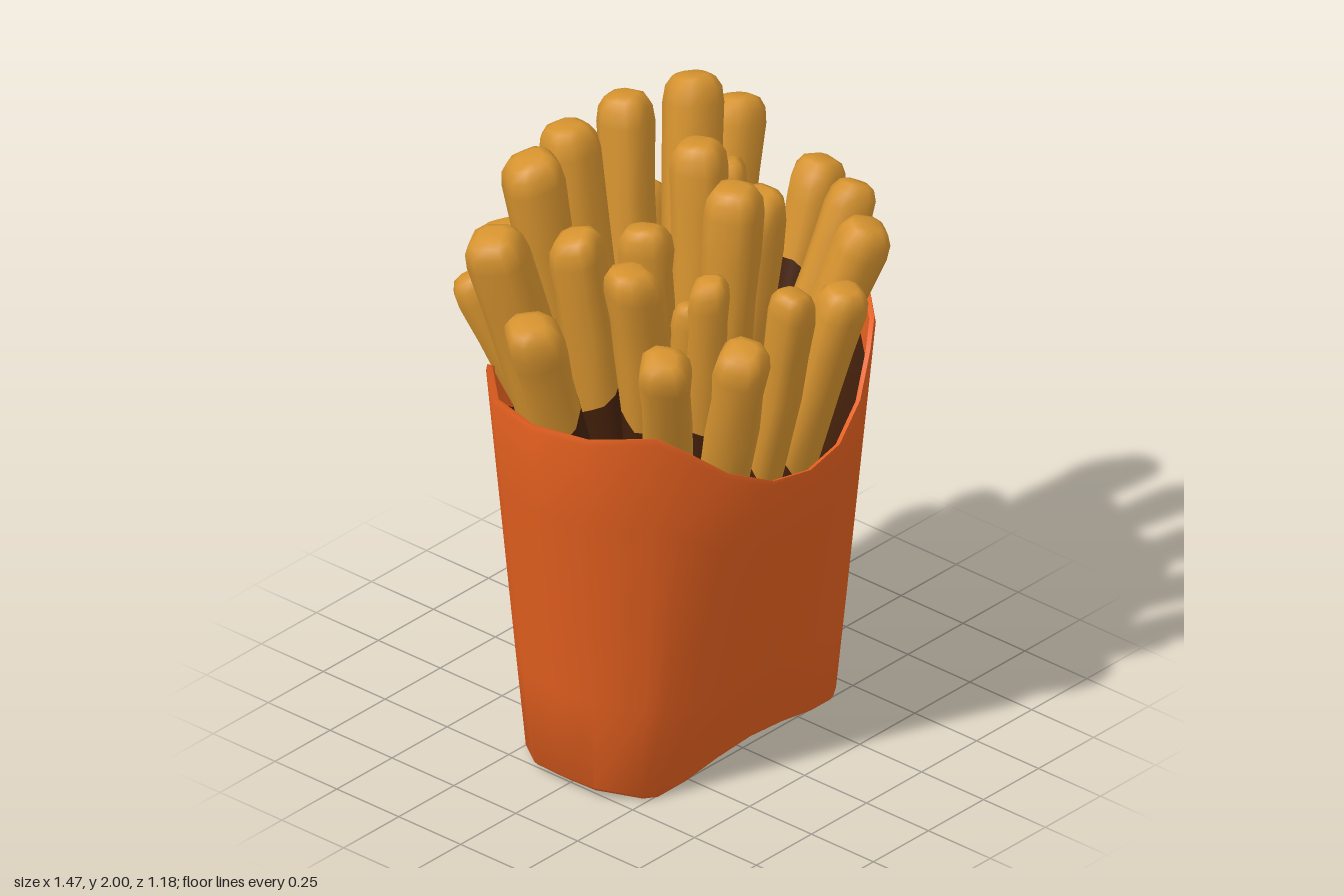
import * as THREE from 'three';
import { toCreasedNormals } from 'three/addons/utils/BufferGeometryUtils.js';

const V = (x, y, z) => new THREE.Vector3(x, y, z);

// Skin a stack of closed rings; optional fan caps at the first and last ring.
function loft(rings, capStart, capEnd) {
  const n = rings[0].length, pos = [], idx = [];
  rings.forEach(r => r.forEach(p => pos.push(p.x, p.y, p.z)));
  for (let j = 0; j < rings.length - 1; j++) {
    for (let i = 0; i < n; i++) {
      const a = j * n + i, b = j * n + (i + 1) % n;
      idx.push(a, b, b + n, a, b + n, a + n);
    }
  }
  const cap = (j, flip) => {
    const c = V(0, 0, 0);
    rings[j].forEach(p => c.addScaledVector(p, 1 / n));
    const k = pos.length / 3;
    pos.push(c.x, c.y, c.z);
    for (let i = 0; i < n; i++) {
      const a = j * n + i, b = j * n + (i + 1) % n;
      if (flip) idx.push(b, a, k); else idx.push(a, b, k);
    }
  };
  if (capStart) cap(0, true);
  if (capEnd) cap(rings.length - 1, false);
  const g = new THREE.BufferGeometry();
  g.setAttribute('position', new THREE.Float32BufferAttribute(pos, 3));
  g.setIndex(idx);
  g.computeVertexNormals();
  return g;
}

// Quarter outline of the carton, front middle to side middle:
// bottom x, z, y, then rim x, z, y
const QUARTER = [
  [0, 0.285, 0.055, 0, 0.53, 1.08],
  [0.15, 0.285, 0.045, 0.15, 0.515, 1.1],
  [0.29, 0.278, 0.02, 0.3, 0.465, 1.17],
  [0.4, 0.26, 0.004, 0.42, 0.4, 1.27],
  [0.44, 0.235, 0.006, 0.5, 0.345, 1.33],
  [0.53, 0.12, 0.03, 0.645, 0.19, 1.33],
  [0.535, 0, 0.03, 0.69, 0, 1.33],
];
const mirror = (p, sx, sz) => [p[0] * sx, p[1] * sz, p[2], p[3] * sx, p[4] * sz, p[5]];
const OUTLINE = [
  ...QUARTER,
  ...QUARTER.slice(0, 6).reverse().map(p => mirror(p, 1, -1)),
  ...QUARTER.slice(1).map(p => mirror(p, -1, -1)),
  ...QUARTER.slice(1, 6).reverse().map(p => mirror(p, -1, 1)),
];

// Ring of the carton wall; tOf gives the height fraction for each outline point
const wallRing = (tOf, scale = 1, dy = 0, scaleZ = scale) => OUTLINE.map(p => {
  const t = tOf(p);
  const mix = k => p[k] + (p[k + 3] - p[k]) * t;
  return V(mix(0) * scale, mix(2) + dy, mix(1) * scaleZ);
});
const FLOOR_Y = 0.7;
const floorT = p => (FLOOR_Y - p[2]) / (p[5] - p[2]);

// Fry tips: x, height, z, half width, and how far out the foot stays (default 0.5)
const FRIES = [
  // back row
  [-0.45, 1.58, -0.46, 0.07, 0.32], [-0.24, 1.64, -0.52, 0.08],
  [0.05, 1.68, -0.53, 0.068], [0.33, 1.58, -0.45, 0.068, 0.45],
  // tall row
  [-0.55, 1.83, -0.28, 0.088], [-0.33, 1.99, -0.32, 0.088],
  [-0.08, 1.97, -0.39, 0.082], [0.15, 1.99, -0.36, 0.078],
  [0.43, 1.95, -0.33, 0.082, 0.4], [0.58, 1.83, -0.28, 0.078],
  // middle
  [-0.34, 1.8, -0.13, 0.078], [0.25, 1.86, -0.15, 0.08],
  [0.4, 1.72, -0.18, 0.07, 0.4], [-0.66, 1.67, -0.02, 0.085],
  [-0.15, 1.79, -0.01, 0.078], [0.67, 1.67, -0.02, 0.075],
  [-0.35, 1.77, 0.11, 0.08], [-0.11, 1.56, 0.14, 0.05],
  [-0.15, 1.7, 0.25, 0.06], [0.08, 1.89, 0.15, 0.082],
  [0.25, 1.77, 0.09, 0.08], [0.58, 1.71, 0.2, 0.07, 0.25],
  // front row
  [-0.49, 1.62, 0.37, 0.078, 0.3], [-0.25, 1.59, 0.48, 0.078, 0.42],
  [-0.02, 1.69, 0.48, 0.066], [0.17, 1.64, 0.52, 0.072],
  [0.4, 1.72, 0.41, 0.077, 0.25],
];

export function createModel() {
  const model = new THREE.Group();
  const mat = (name, color, side = THREE.FrontSide) => {
    const m = new THREE.MeshStandardMaterial({ color, side });
    m.name = name;
    return m;
  };
  const cartonMat = mat('orange card', 0xe35f1f, THREE.DoubleSide);
  const fryMat = mat('golden potato', 0xd6932f);
  const darkMat = mat('dark brown', 0x43200b);
  const add = (parent, name, geometry, material) => {
    const m = new THREE.Mesh(geometry, material);
    m.name = name;
    parent.add(m);
  };

  // Carton: arched bottom, outer wall, rolled rim, upper part of the inner wall
  const innerEdge = wallRing(() => 0.9, 0.96);
  const carton = loft([
    wallRing(() => 0, 0.98, 0, 0),
    wallRing(() => 0, 0.98),
    wallRing(() => 0, 1, 0.012),
    ...[0.25, 0.5, 0.75, 0.985].map(t => wallRing(() => t)),
    wallRing(() => 1, 0.99),
    wallRing(() => 0.995, 0.965),
    innerEdge,
  ], false, false);
  add(model, 'carton', toCreasedNormals(carton, 0.75), cartonMat);
  const inside = loft([innerEdge, wallRing(floorT, 0.955)], false, true);
  add(model, 'cartonInside', toCreasedNormals(inside, 0.75), darkMat);

  // Seeded variation for the fries
  let seed = 7;
  const rand = () => (seed = (seed * 16807) % 2147483647) / 2147483647;
  const vary = s => (rand() * 2 - 1) * s;

  const fries = new THREE.Group();
  fries.name = 'fries';
  model.add(fries);
  for (const [x, y, z, w, foot = 0.5] of FRIES) {
    const tip = V(x, y, z), base = V(x * foot, FLOOR_Y - 0.05, z * foot);
    const middle = base.clone().lerp(tip, 0.6).add(V(vary(0.015), 0, vary(0.015)));
    const path = new THREE.CatmullRomCurve3([base, middle, tip]);
    const length = path.getLength(), yaw = rand() * Math.PI, slant = vary(0.3);

    // Rounded-square section across the path
    const ring = (t, r, tilt = 0) => {
      const q = new THREE.Quaternion().setFromUnitVectors(V(0, 1, 0), path.getTangentAt(t));
      const c = path.getPointAt(t);
      return Array.from({ length: 12 }, (_, i) => {
        const a = i / 12 * Math.PI * 2, s = Math.sin(a), k = Math.cos(a);
        const m = r / Math.pow(s ** 4 + k ** 4, 0.25);
        return V(s * m, s * m * tilt, k * m)
          .applyAxisAngle(V(0, 1, 0), yaw).applyQuaternion(q).add(c);
      });
    };

    // Dark lower end, reaching higher on the inward side
    const split = (1.31 - 0.55 * Math.abs(z) - base.y) / (y - base.y);
    const joint = ring(split, w * (0.86 + 0.1 * split));
    const centre = path.getPointAt(split), along = path.getTangentAt(split);
    const inward = V(-x, 0, -z);
    joint.forEach(p => p.addScaledVector(along, 1.6 * inward.dot(p.clone().sub(centre))));
    add(fries, 'fryBase', loft([ring(0, w * 0.85), joint], true, false), darkMat);

    // Golden body and blunt tip
    const body = [0.4, 0.65].map(f => {
      const t = split + (1 - split) * f;
      return ring(t, w * (0.86 + 0.12 * t + vary(0.05)));
    });
    add(fries, 'fry', loft([
      joint, ...body,
      ring(1 - 0.09 / length, w * 1.02, slant),
      ring(1 - 0.04 / length, w * 0.94, slant),
      ring(1 - 0.01 / length, w * 0.72, slant),
      ring(1, w * 0.45, slant),
    ], false, true), fryMat);
  }
  return model;
}
